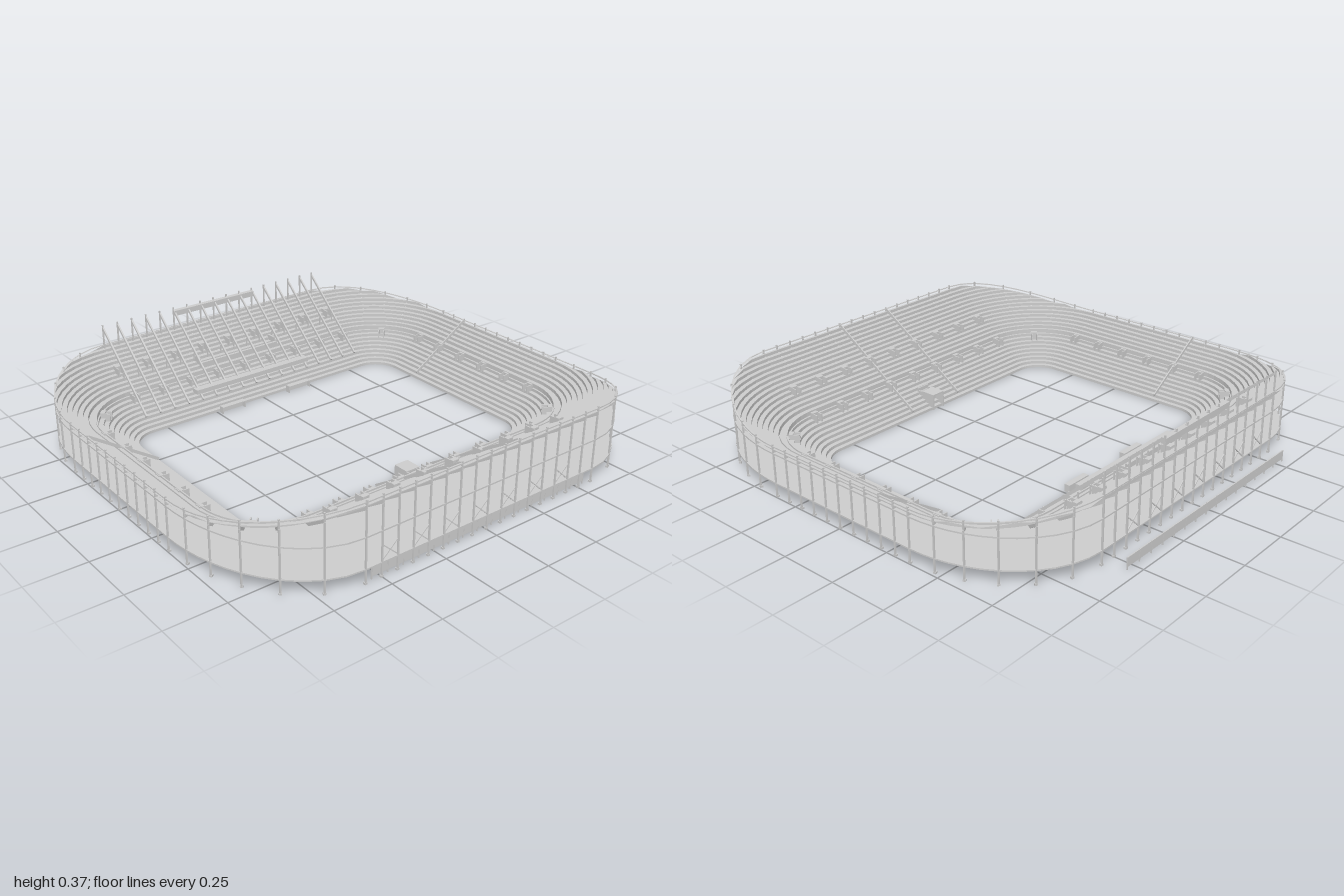
import * as THREE from 'three';

const SLOPE = 0.65, BASE = 0.012, ROW = 0.02, R0 = 0.115, CX = 0.573, CZ = 0.363;

export function createModel() {
  const root = new THREE.Group();
  const mat = new THREE.MeshStandardMaterial({ color: 0xcccccc, flatShading: true, side: THREE.DoubleSide });
  const unit = new THREE.BoxGeometry(1, 1, 1);
  const group = (name) => {
    const g = new THREE.Group();
    g.name = name;
    root.add(g);
    return g;
  };
  const box = (parent, name, w, h, d, x, y, z, ry = 0) => {
    const m = new THREE.Mesh(unit, mat);
    m.name = name;
    m.scale.set(w, h, d);
    m.position.set(x, y, z);
    m.rotation.y = ry;
    parent.add(m);
    return m;
  };
  // square bar from a to b
  const bar = (parent, name, a, b, w = 0.005, h = w) => {
    const A = new THREE.Vector3(...a), B = new THREE.Vector3(...b);
    const m = box(parent, name, w, h, A.distanceTo(B), 0, 0, 0);
    m.position.copy(A).add(B).multiplyScalar(0.5);
    m.lookAt(B);
  };

  // Stations round the bowl: a start point, an outward direction and a depth to the rim
  const stations = [];
  const station = (cx, cz, ang, post) => {
    const ux = Math.cos(ang), uz = Math.sin(ang);
    const r = 1 / Math.hypot(ux / 0.425, uz / (uz > 0 ? 0.587 : 0.515));
    stations.push({ cx, cz, ux, uz, ang, post, D: r - R0 });
  };
  const corners = [[CX, CZ], [-CX, CZ], [-CX, -CZ], [CX, -CZ]];
  corners.forEach(([x, z], q) => {
    for (let i = 0; i <= 12; i++) station(x, z, (q + i / 12) * Math.PI / 2, i % 2 === 0);
    const [nx, nz] = corners[(q + 1) % 4], n = q % 2 ? 10 : 16;
    for (let i = 1; i < n; i++) {
      station(x + (nx - x) * i / n, z + (nz - z) * i / n, (q + 1) * Math.PI / 2, true);
    }
  });
  const at = (s, d, y) => [s.cx + s.ux * (R0 + d), y, s.cz + s.uz * (R0 + d)];
  const standY = (d) => BASE + SLOPE * d;

  // Closed ring surface; profile(s) gives [depth, height] pairs
  const ring = (name, profile) => {
    const pos = [], rows = stations.map((s) => profile(s).map(([d, y]) => at(s, d, y)));
    rows.forEach((a, i) => {
      const b = rows[(i + 1) % rows.length];
      for (let k = 0; k < a.length - 1; k++) {
        pos.push(...a[k], ...b[k], ...a[k + 1], ...b[k], ...b[k + 1], ...a[k + 1]);
      }
    });
    const g = new THREE.BufferGeometry();
    g.setAttribute('position', new THREE.Float32BufferAttribute(pos, 3));
    g.computeVertexNormals();
    const m = new THREE.Mesh(g, mat);
    m.name = name;
    root.add(m);
  };

  // Stepped seating, cut off at the rim
  ring('seatingBowl', ({ D }) => {
    const p = [[0, 0]], last = Math.floor(D / ROW);
    for (let k = 0; k < 25; k++) {
      const y = BASE + Math.min(k, last) * ROW * SLOPE;
      p.push([Math.min(k * ROW, D), y], [Math.min((k + 1) * ROW, D), y]);
    }
    return p;
  });
  ring('middleWalkway', () => [[0.165, 0.118], [0.165, 0.137], [0.17, 0.137], [0.17, 0.13], [0.197, 0.13], [0.197, 0.145]]);
  const slab = (y, width) => ({ D }) => {
    const d = Math.min(D - 0.012, Math.max(D - width, (y - BASE) / SLOPE + 0.02));
    return [[d, y], [D, y], [D, y - 0.006], [d, y - 0.006], [d, y]];
  };
  ring('lowerGallery', slab(0.063, 0.28));
  ring('upperGallery', slab(0.19, 0.16));
  ring('rimRail', ({ D }) => [[D - 0.006, standY(D) + 0.006], [D, standY(D) + 0.006], [D, standY(D) + 0.001], [D - 0.006, standY(D) + 0.001]]);

  // Outer columns, feet and raking beams below the seating
  const frame = group('supportFrame');
  for (const s of stations) {
    if (!s.post) continue;
    const d = s.D - 0.003, top = standY(s.D);
    bar(frame, 'column', at(s, d, 0), at(s, d, top + 0.012), 0.006);
    const [x, , z] = at(s, d - 0.002, 0);
    box(frame, 'columnFoot', 0.011, 0.008, 0.011, x, 0.004, z, -s.ang);
    bar(frame, 'rakingBeam', at(s, 0.04, standY(0.04) - 0.022), at(s, d, top - 0.02), 0.006, 0.012);
  }

  // Cross bracing on the long sides
  const bracing = group('crossBracing');
  for (const z of [0.945, -0.873]) {
    for (let i = -7; i <= 6; i += 2) {
      const x0 = i * 0.0716, x1 = x0 + 0.0716;
      bar(bracing, 'brace', [x0, 0.065, z], [x1, 0.13, z], 0.004);
      bar(bracing, 'brace', [x0, 0.13, z], [x1, 0.065, z], 0.004);
    }
  }

  // Entrance portals: two cheeks and a cross wall, H-shaped in plan
  const portals = group('entrancePortals');
  const portal = (s, d) => {
    const g = new THREE.Group();
    g.name = 'portal';
    g.position.set(...at(s, d, standY(d)));
    g.rotation.y = Math.PI / 2 - s.ang;
    for (const k of [-1, 1]) box(g, 'portalCheek', 0.005, 0.034, 0.045, k * 0.0125, 0.004, 0);
    box(g, 'portalWall', 0.025, 0.03, 0.006, 0, 0.006, 0.008);
    box(g, 'portalRoof', 0.03, 0.004, 0.02, 0, 0.022, 0.012);
    portals.add(g);
  };
  for (const uz of [1, -1]) {
    for (let i = -4; i <= 4; i++) {
      const s = { cx: i * 0.1432, cz: uz * CZ, ux: 0, uz, ang: uz * Math.PI / 2 };
      portal(s, 0.145);
      portal(s, 0.272);
    }
  }
  for (const ux of [1, -1]) {
    for (let i = 0; i < 6; i++) {
      portal({ cx: ux * CX, cz: -0.362 + i * 0.143, ux, uz: 0, ang: ux > 0 ? 0 : Math.PI }, 0.152);
    }
  }
  for (let q = 0; q < 4; q++) {
    const ang = (q + 0.5) * Math.PI / 2;
    portal({ cx: corners[q][0], cz: corners[q][1], ux: Math.cos(ang), uz: Math.sin(ang), ang }, 0.14);
  }

  // Dividing rails running up the stands
  const rails = group('aisleRails');
  const aisle = (cx, cz, ux, uz, D) => {
    const s = { cx, cz, ux, uz };
    bar(rails, 'aisleRail', at(s, 0.01, standY(0.01) + 0.008), at(s, D, standY(D) + 0.008), 0.005, 0.012);
  };
  for (const x of [-0.143, 0.143]) aisle(x, CZ, 0, 1, 0.465);
  for (const k of [-1, 1]) aisle(k * CX, -0.217, k, 0, 0.305);

  // Sloping masts over the back stand, with tall posts behind
  const masts = group('backMasts');
  for (let i = -8; i <= 8; i++) {
    const x = i * 0.0716;
    bar(masts, 'mast', [x, 0.055, -0.53], [x, 0.355, -0.872], 0.007, 0.01);
    bar(masts, 'mastPost', [x, 0, -0.874], [x, 0.368, -0.874], 0.006);
    bar(masts, 'mastStrut', [x, 0.2, -0.71], [x, 0.16, -0.71], 0.005);
  }
  box(masts, 'mastGantry', 0.43, 0.024, 0.022, 0, 0.343, -0.868);

  // Platforms on the back stand
  const decks = group('backPlatforms');
  box(decks, 'lowerPlatform', 0.61, 0.02, 0.036, 0, 0.085, -0.565);
  box(decks, 'upperPlatform', 0.42, 0.022, 0.012, 0, 0.15, -0.67);
  for (const k of [-1, 1]) box(decks, 'platformSide', 0.008, 0.03, 0.05, k * 0.205, 0.165, -0.7);

  // Team shelters beside the field: roof, back and ends
  const shelters = group('teamShelters');
  for (const k of [-1, 1]) {
    box(shelters, 'shelterRoof', 0.12, 0.004, 0.026, k * 0.18, 0.03, -0.456);
    box(shelters, 'shelterBack', 0.12, 0.03, 0.004, k * 0.18, 0.015, -0.467);
    for (const e of [-1, 1]) box(shelters, 'shelterEnd', 0.004, 0.03, 0.024, k * 0.18 + e * 0.058, 0.015, -0.456);
  }

  // Tunnel through the front stand
  const tunnel = group('playerTunnel');
  for (const k of [-1, 1]) box(tunnel, 'tunnelWall', 0.006, 0.07, 0.1, k * 0.03, 0.035, 0.52);
  box(tunnel, 'tunnelRoof', 0.066, 0.006, 0.07, 0, 0.07, 0.505);
  box(tunnel, 'tunnelEnd', 0.066, 0.08, 0.006, 0, 0.04, 0.567);

  // Rows of gate panels outside the long sides
  const gates = group('gatePanels');
  for (const z of [0.935, -0.957]) {
    for (let i = -7; i <= 7; i++) box(gates, 'gatePanel', 0.066, 0.038, 0.005, i * 0.0716, 0.031, z);
    for (let i = -7; i <= 8; i++) box(gates, 'gatePost', 0.004, 0.05, 0.005, (i - 0.5) * 0.0716, 0.025, z);
  }
  return root;
}
